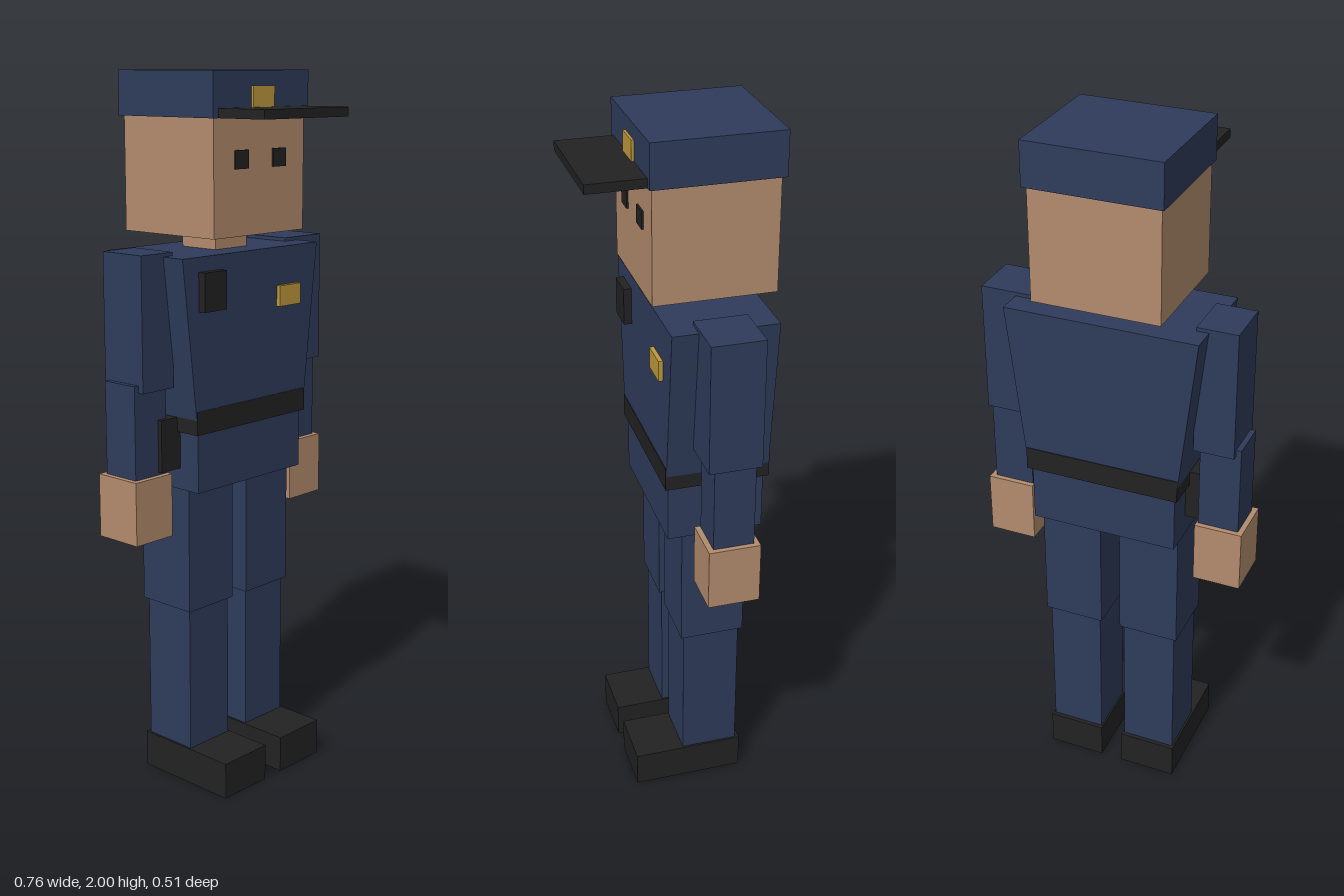
import * as THREE from 'three';

const mat = (name, color) => {
  const m = new THREE.MeshStandardMaterial({ color });
  m.name = name;
  return m;
};

export function createModel() {
  const navy = mat('navy cloth', 0x2e3b5a);
  const skin = mat('skin', 0xb28b6d);
  const black = mat('black leather', 0x222222);
  const gold = mat('gold', 0xbe993c);
  const root = new THREE.Group();
  root.name = 'officer';

  // Box given by its extents on each axis
  const block = (name, material, [x0, x1], [y0, y1], [z0, z1], parent = root) => {
    const mesh = new THREE.Mesh(new THREE.BoxGeometry(x1 - x0, y1 - y0, z1 - z0), material);
    mesh.position.set((x0 + x1) / 2, (y0 + y1) / 2, (z0 + z1) / 2);
    mesh.name = name;
    parent.add(mesh);
    return mesh;
  };
  const group = (name) => {
    const g = new THREE.Group();
    g.name = name;
    root.add(g);
    return g;
  };

  // Head and face
  const head = group('headGroup');
  block('head', skin, [-0.178, 0.178], [1.57, 1.885], [-0.245, 0.09], head);
  block('neck', skin, [-0.063, 0.063], [1.51, 1.58], [-0.14, -0.015], head);
  for (const [side, x] of [['right', -0.074], ['left', 0.074]])
    block(side + 'Eye', black, [x - 0.026, x + 0.026], [1.747, 1.796], [0.088, 0.095], head);

  // Cap
  const cap = group('cap');
  block('capCrown', navy, [-0.187, 0.187], [1.88, 2], [-0.257, 0.097], cap);
  block('capVisor', black, [-0.167, 0.167], [1.88, 1.905], [0.085, 0.255], cap);
  block('capBadge', gold, [-0.042, 0.042], [1.905, 1.96], [0.095, 0.104], cap);

  // Tapered torso
  const outline = new THREE.Shape([
    new THREE.Vector2(-0.217, 1.06), new THREE.Vector2(0.217, 1.06),
    new THREE.Vector2(0.27, 1.525), new THREE.Vector2(-0.27, 1.525),
  ]);
  const torso = new THREE.Mesh(
    new THREE.ExtrudeGeometry(outline, { depth: 0.288, bevelEnabled: false }), navy);
  torso.position.z = -0.223;
  torso.name = 'torso';
  root.add(torso);
  block('belt', black, [-0.22, 0.22], [1.045, 1.11], [-0.225, 0.067]);
  block('hips', navy, [-0.209, 0.209], [0.88, 1.05], [-0.212, 0.058]);

  // Equipment
  block('chestRadio', black, [-0.21, -0.125], [1.38, 1.485], [0.06, 0.087]);
  block('chestBadge', gold, [0.1, 0.187], [1.36, 1.418], [0.06, 0.077]);
  block('holster', black, [-0.28, -0.2], [0.94, 1.085], [-0.13, -0.01]);

  // Arms and legs, mirrored
  for (const [side, s] of [['right', -1], ['left', 1]]) {
    const span = (a, b) => (s > 0 ? [a, b] : [-b, -a]);
    const arm = group(side + 'Arm');
    const sleeve = s > 0 ? [0.215, 0.37] : [0.236, 0.35];
    block(side + 'UpperArm', navy, span(...sleeve), [1.17, 1.535], [-0.152, -0.006], arm);
    block(side + 'Forearm', navy, span(0.25, 0.365), [0.92, 1.19 - (s > 0 ? 0.02 : 0)], [-0.137, -0.023], arm);
    block(side + 'Hand', skin, span(0.245, 0.38), [0.755, 0.932], [-0.152, -0.007], arm);

    const leg = group(side + 'Leg');
    block(side + 'Thigh', navy, span(0.029, 0.204), [0.525, 0.885], [-0.168, 0.016], leg);
    block(side + 'Shin', navy, span(0.038, 0.194), [0.1, 0.53], [-0.158, 0.006], leg);
    block(side + 'Shoe', black, span(0.033, 0.2), [0, 0.105], [-0.17, 0.15], leg);
  }
  return root;
}
